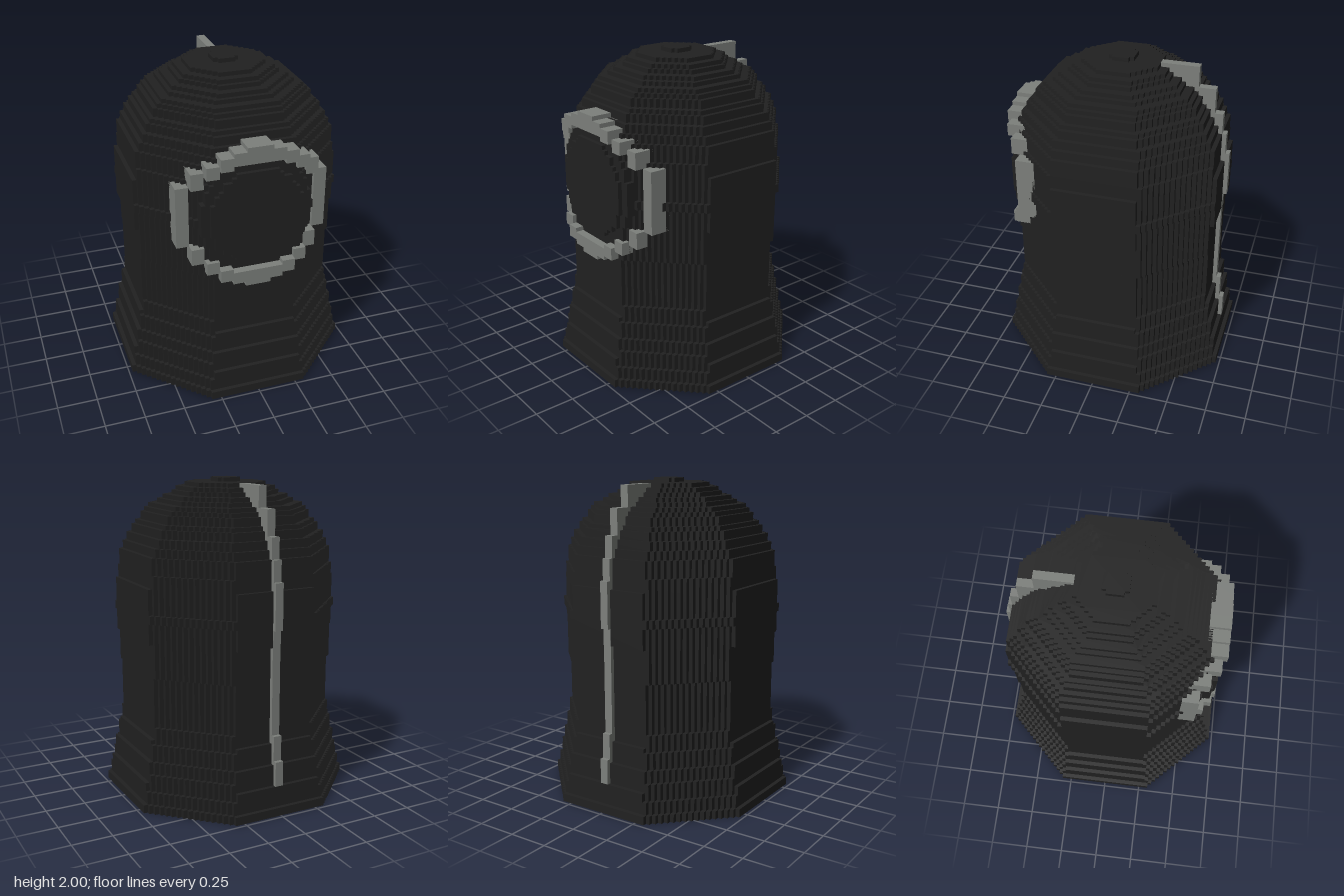
import * as THREE from 'three';

const U = 2 / 77; // one block
const dark = new THREE.MeshStandardMaterial({ color: 0x212121 });
dark.name = 'charcoal';
const grey = new THREE.MeshStandardMaterial({ color: 0x7d807c });
grey.name = 'grey';

// Box given by its limits in blocks
function box(name, mat, x0, x1, y0, y1, z0, z1) {
  const geo = new THREE.BoxGeometry((x1 - x0) * U, (y1 - y0) * U, (z1 - z0) * U);
  const mesh = new THREE.Mesh(geo, mat);
  mesh.position.set((x0 + x1) / 2 * U, (y0 + y1) / 2 * U, (z0 + z1) / 2 * U);
  mesh.name = name;
  return mesh;
}

// Octagonal slab with stepped diagonals: r is the flat side, d limits |x| + |z|
function slab(name, r, d, y0, y1) {
  const right = [];
  for (let j = -r; j < r; j++) {
    const w = Math.min(r, d - (j < 0 ? -j - 1 : j));
    const last = right[right.length - 1];
    if (last && last[0] === w) last[1] = j + 1;
    else right.push([w, j], [w, j + 1]);
  }
  const left = right.map(([x, z]) => [-x, z]).reverse();
  const shape = new THREE.Shape([...right, ...left].map(([x, z]) => new THREE.Vector2(x * U, z * U)));
  const geo = new THREE.ExtrudeGeometry(shape, { depth: (y1 - y0) * U, bevelEnabled: false });
  geo.rotateX(-Math.PI / 2);
  const mesh = new THREE.Mesh(geo, dark);
  mesh.position.y = y0 * U;
  mesh.name = name;
  return mesh;
}

// Outline of the body below the dome: [height, half width]
const profile = [[0, 28], [2, 27.5], [7, 26.5], [12, 25.5], [17, 24.5], [20, 24],
  [32, 24.04], [40, 24.5], [46, 24.8], [53, 24.5], [60, 23.5]];
// Half width of each dome layer from height 60 up
const dome = [23, 23, 22, 22, 21, 21, 20, 19, 19, 18, 17, 15, 14, 12, 11, 9, 3];

function halfWidth(layer) {
  if (layer >= 60) return dome[layer - 60];
  const y = layer + 0.5;
  const i = profile.findIndex(p => p[0] > y);
  const [ya, a] = profile[i - 1], [yb, b] = profile[i];
  return a + (b - a) * (y - ya) / (yb - ya);
}

export function createModel() {
  const model = new THREE.Group();

  // Body: equal neighbouring layers are joined into one slab
  const body = new THREE.Group();
  body.name = 'body';
  let start = 0;
  const size = k => {
    const a = halfWidth(k);
    return [Math.round(a), Math.floor(a * Math.SQRT2)];
  };
  for (let k = 1; k <= 77; k++) {
    const [r, d] = size(start);
    if (k < 77) {
      const [r2, d2] = size(k);
      if (r2 === r && d2 === d) continue;
    }
    body.add(slab('bodyLayer', r, d, start, k));
    start = k;
  }
  model.add(body);

  // Face: two stepped round plates inside the ring
  const face = new THREE.Group();
  face.name = 'face';
  for (const [rad, z] of [[13, 24], [11, 25]]) {
    for (let k = 0; k < rad; k++) {
      const w = Math.round(Math.sqrt(rad * rad - k * k));
      face.add(box('faceRow', dark, -w, w, 47.5 - k - 1, 47.5 + k + 1, 18, z));
    }
  }
  model.add(face);

  // Ring around the face: [x0, x1, y0, y1, z0, z1], mirrored left to right
  const ring = new THREE.Group();
  ring.name = 'faceRing';
  const blocks = [
    [0, 3, 61, 65, 20, 26], [0, 3, 30, 34, 20, 26],
    [3, 6, 61, 64, 21, 26], [3, 6, 31, 34, 21, 26],
    [6, 9, 60, 63, 21, 26], [6, 9, 32, 35, 21, 26],
    [9, 12, 58, 61, 20, 25], [9, 12, 34, 37, 20, 25],
    [12, 15, 55, 59, 18, 23], [12, 15, 36, 40, 18, 23],
    [15, 18, 40, 55, 16, 21],
  ];
  for (const [x0, x1, y0, y1, z0, z1] of blocks) {
    ring.add(box('ringBlockLeft', grey, x0, x1, y0, y1, z0, z1));
    ring.add(box('ringBlockRight', grey, -x1, -x0, y0, y1, z0, z1));
  }
  model.add(ring);

  // Narrow ridge down the back: [y0, y1, inner depth, outer depth]
  const ridge = new THREE.Group();
  ridge.name = 'backRidge';
  const steps = [[71, 76, 9, 18], [65, 71, 15, 22], [60, 65, 19, 24], [55, 60, 21, 25],
    [44, 55, 22, 26], [40, 44, 22, 25.1], [19, 40, 22, 25], [13, 19, 22, 26], [7, 13, 23, 27]];
  for (const [y0, y1, d0, d1] of steps) {
    ridge.add(box('ridgeBlock', grey, -1, 1, y0, y1, -d1, -d0));
  }
  model.add(ridge);

  return model;
}
